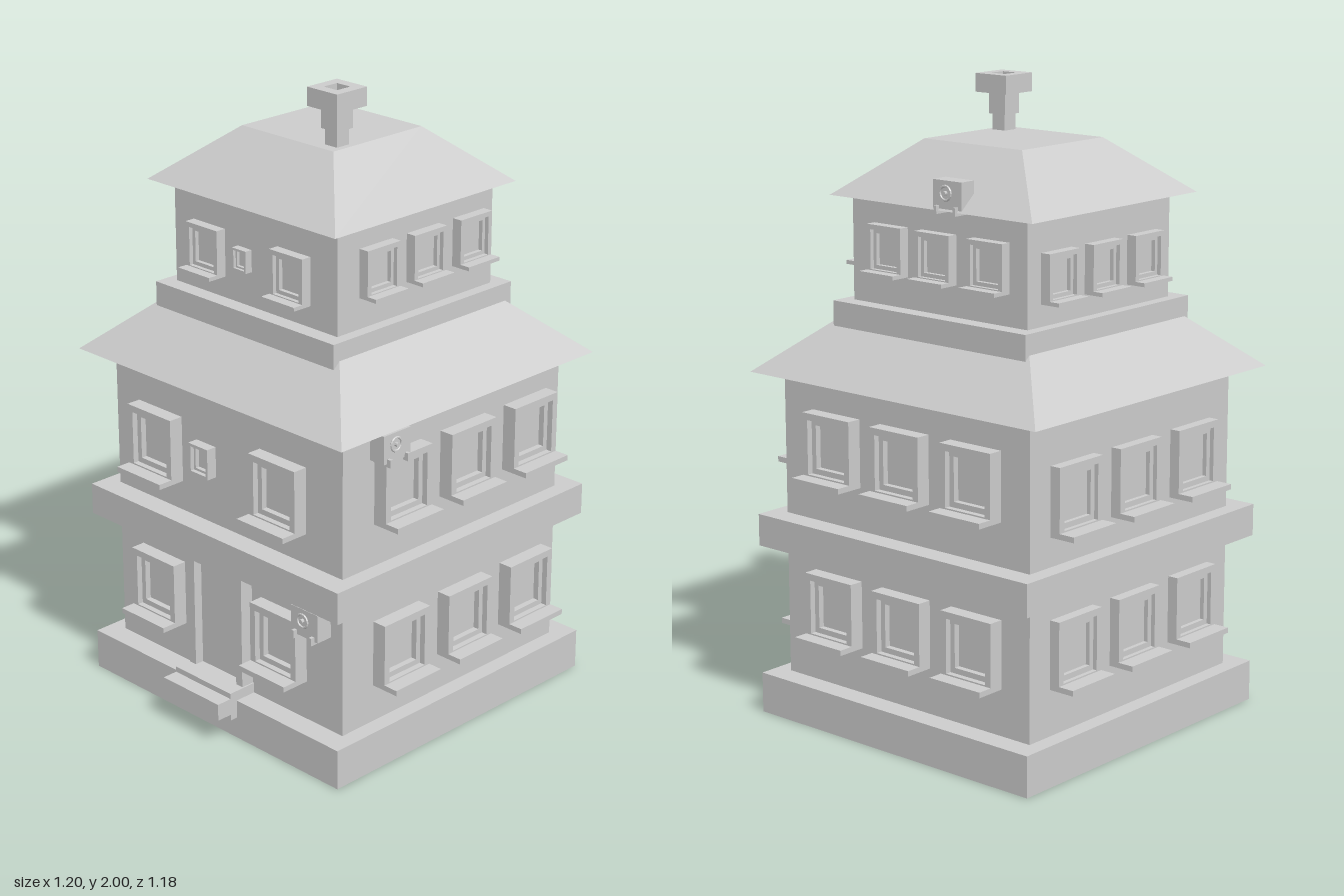
import * as THREE from 'three';

const grey = new THREE.MeshStandardMaterial({ color: 0xcccccc, flatShading: true });

function add(parent, name, geometry, x = 0, y = 0, z = 0) {
  const mesh = new THREE.Mesh(geometry, grey);
  mesh.name = name;
  mesh.position.set(x, y, z);
  parent.add(mesh);
  return mesh;
}

// Box given by its limits on each axis
function block(parent, name, [x0, x1], [y0, y1], [z0, z1]) {
  return add(parent, name, new THREE.BoxGeometry(x1 - x0, y1 - y0, z1 - z0),
    (x0 + x1) / 2, (y0 + y1) / 2, (z0 + z1) / 2);
}

// Hipped roof: a box whose lower and upper corners go to two rectangles
function roof(parent, name, y0, y1, low, high) {
  const g = new THREE.BoxGeometry(1, 1, 1);
  const p = g.attributes.position;
  for (let i = 0; i < p.count; i++) {
    const top = p.getY(i) > 0;
    const r = top ? high : low;
    p.setXYZ(i, r[p.getX(i) > 0 ? 1 : 0], top ? y1 : y0, r[p.getZ(i) > 0 ? 3 : 2]);
  }
  g.computeVertexNormals();
  add(parent, name, g);
}

// Rectangular ring with its back on z = 0
function ring(w, h, iw, ih, depth) {
  const rect = (path, a, b) => path.moveTo(-a / 2, -b / 2).lineTo(a / 2, -b / 2)
    .lineTo(a / 2, b / 2).lineTo(-a / 2, b / 2).closePath();
  const s = rect(new THREE.Shape(), w, h);
  s.holes.push(rect(new THREE.Path(), iw, ih));
  return new THREE.ExtrudeGeometry(s, { depth, bevelEnabled: false });
}

// Window centred on its frame, facing +z
function makeWindow(w, h, sill = true, depth = 0.045, reach = 0.097) {
  const g = new THREE.Group();
  g.name = 'window';
  const t = w * 0.11;
  add(g, 'windowFrame', ring(w, h, w - 2 * t, h - 2 * t, depth));
  add(g, 'innerFrame', ring(w - 2 * t, h - 2 * t, w - 3.6 * t, h - 3.6 * t, depth * 0.6));
  block(g, 'pane', [-w / 2 + t, w / 2 - t], [-h / 2 + t, h / 2 - t], [0, depth * 0.2]);
  if (sill) block(g, 'sill', [-w / 2, w / 2], [-h / 2, -h / 2 + h * 0.08], [0, reach]);
  return g;
}

// Air conditioner with a fan on its front and two brackets, back on z = 0
function makeAirConditioner() {
  const g = new THREE.Group();
  g.name = 'airConditioner';
  block(g, 'casing', [-0.056, 0.056], [-0.04, 0.05], [0, 0.055]);
  add(g, 'fanRim', new THREE.TorusGeometry(0.021, 0.004, 6, 16), -0.006, 0.013, 0.057);
  add(g, 'fanHub', new THREE.CylinderGeometry(0.007, 0.007, 0.01, 8).rotateX(Math.PI / 2), -0.006, 0.013, 0.06);
  for (const x of [-0.037, 0.037]) {
    block(g, 'bracket', [x - 0.005, x + 0.005], [-0.05, -0.036], [0, 0.068]);
    block(g, 'bracketTip', [x - 0.005, x + 0.005], [-0.05, -0.025], [0.055, 0.068]);
  }
  return g;
}

// Put an object on a wall: u runs along the wall in world x or z
function onWall(parent, object, side, wall, u, y) {
  const turn = { front: 0, back: Math.PI, left: Math.PI / 2, right: -Math.PI / 2 };
  object.rotation.y = turn[side];
  if (side === 'front' || side === 'back') object.position.set(u, y, wall);
  else object.position.set(wall, y, u);
  parent.add(object);
}

export function createModel() {
  const house = new THREE.Group();
  house.name = 'house';

  // Storeys, plinth and ledges
  const wide = [-0.524, 0.577], deep = [-0.553, 0.548];
  const bodyX = [-0.45, 0.503], bodyZ = [-0.5, 0.495];
  const topX = [-0.307, 0.36], topZ = [-0.368, 0.33];
  block(house, 'plinth', wide, [0, 0.13], deep);
  block(house, 'groundFloor', bodyX, [0.13, 0.55], bodyZ);
  block(house, 'middleLedge', wide, [0.55, 0.652], deep);
  block(house, 'middleFloor', bodyX, [0.652, 1.105], bodyZ);
  block(house, 'upperLedge', [-0.36, 0.413], [1.25, 1.33], [-0.405, 0.368]);
  block(house, 'topFloor', topX, [1.33, 1.655], topZ);

  // Roofs
  roof(house, 'lowerRoof', 1.105, 1.28, [-0.528, 0.58, -0.585, 0.567], [-0.328, 0.38, -0.39, 0.36]);
  roof(house, 'upperRoof', 1.655, 1.825, [-0.362, 0.413, -0.43, 0.376], [-0.16, 0.215, -0.222, 0.167]);

  // Large windows of the two lower floors
  const lower = [
    ['front', bodyZ[1], [-0.22, 0.063, 0.347], [0.36, 0.895]],
    ['back', bodyZ[0], [-0.254, 0.032, 0.313], [0.383, 0.85]],
    ['left', bodyX[1], [-0.292, -0.008, 0.275], [0.383, 0.895]],
    ['right', bodyX[0], [-0.298, 0.245], [0.365, 0.857]],
  ];
  for (const [side, wall, along, heights] of lower) {
    const back = side === 'back';
    for (const y of heights) for (const u of along)
      onWall(house, makeWindow(0.197, 0.215, true, back ? 0.035 : 0.048, back ? 0.088 : 0.097), side, wall, u, y);
  }

  // Windows of the top floor
  const upper = [
    ['front', topZ[1], [-0.147, 0.052, 0.253], 1.503],
    ['back', topZ[0], [-0.17, 0.031, 0.232], 1.473],
    ['left', topX[1], [-0.23, -0.023, 0.172], 1.503],
    ['right', topX[0], [-0.215, 0.15], 1.473],
  ];
  for (const [side, wall, along, y] of upper)
    for (const u of along)
      onWall(house, makeWindow(0.138, 0.152, true, 0.034, 0.068), side, wall, u, y);

  // Small windows above the door
  onWall(house, makeWindow(0.085, 0.1, false, 0.035), 'right', bodyX[0], -0.09, 0.86);
  onWall(house, makeWindow(0.06, 0.07, false, 0.025), 'right', topX[0], -0.06, 1.475);

  // Door with frame, and the steps before it
  const door = new THREE.Group();
  door.name = 'door';
  add(door, 'doorFrame', ring(0.24, 0.42, 0.185, 0.365, 0.045));
  block(door, 'doorLeaf', [-0.0925, 0.0925], [-0.1825, 0.1825], [0, 0.015]);
  onWall(house, door, 'right', bodyX[0], -0.015, 0.34);
  block(house, 'landing', [-0.55, -0.45], [0.07, 0.163], [-0.14, 0.11]);
  block(house, 'step', [-0.602, -0.55], [0.09, 0.145], [-0.14, 0.11]);

  // Air conditioners
  onWall(house, makeAirConditioner(), 'front', bodyZ[1], -0.281, 1.04);
  onWall(house, makeAirConditioner(), 'left', 0.352, -0.1, 1.695);
  onWall(house, makeAirConditioner(), 'right', bodyX[0], 0.39, 0.485);

  // Chimney with a hollow cap
  const cx = -0.1, cz = 0.122;
  block(house, 'chimneyStem', [cx - 0.025, cx + 0.025], [1.81, 1.88], [cz - 0.025, cz + 0.025]);
  block(house, 'chimneyNeck', [cx - 0.033, cx + 0.033], [1.875, 1.948], [cz - 0.033, cz + 0.033]);
  add(house, 'chimneyCap', ring(0.124, 0.124, 0.055, 0.055, 0.058).rotateX(-Math.PI / 2), cx, 1.942, cz);

  return house;
}
